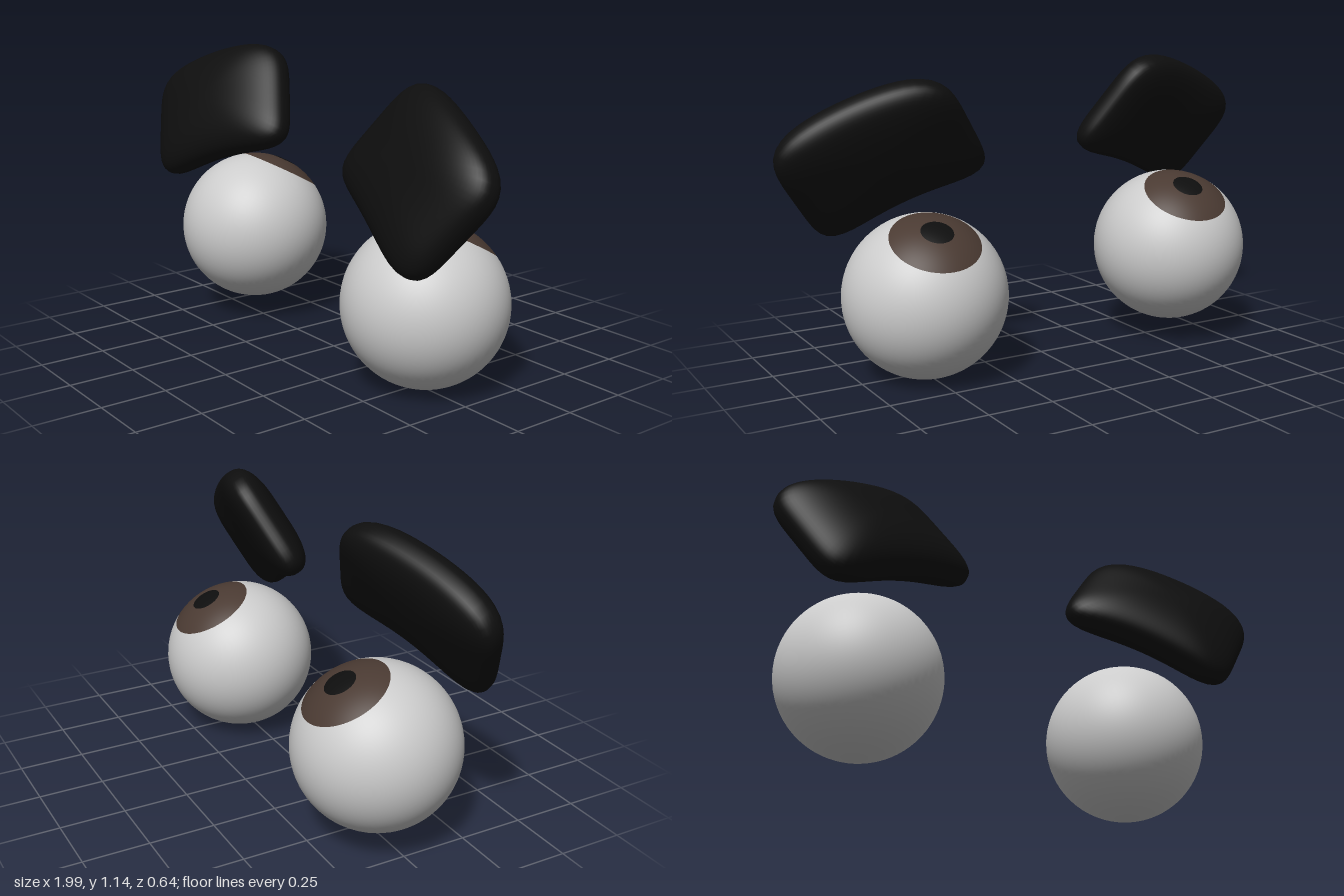
import * as THREE from 'three';
import { mergeVertices } from 'three/addons/utils/BufferGeometryUtils.js';

const material = (color) => new THREE.MeshStandardMaterial({ color });
const white = material(0xcccccc);
const brown = material(0x4a3a32);
const black = material(0x0e0e0e);

const RADIUS = 0.304;
const IRIS = THREE.MathUtils.degToRad(33);
const PUPIL = THREE.MathUtils.degToRad(11.3);

// One zone of the eyeball, between two angles from the gaze axis
function zone(name, from, to, rings, mat) {
  const geo = new THREE.SphereGeometry(RADIUS, 64, rings, 0, Math.PI * 2, from, to - from);
  const mesh = new THREE.Mesh(geo, mat);
  mesh.name = name;
  return mesh;
}

// Eyeball looking up and backwards
function makeEye(name, x, y) {
  const eye = new THREE.Group();
  eye.name = name;
  eye.add(
    zone('pupil', 0, PUPIL, 6, black),
    zone('iris', PUPIL, IRIS, 8, brown),
    zone('eyeball', IRIS, Math.PI, 36, white)
  );
  eye.position.set(x, y, -0.025);
  eye.rotation.set(-0.495, 0, -0.05);
  return eye;
}

// Soft pad: a sphere squared off in plan, then sheared along u (length) and v (height) and arched
function makeBrow(name, centre, u, v) {
  const geo = new THREE.SphereGeometry(1, 72, 36);
  geo.deleteAttribute('normal');
  geo.deleteAttribute('uv');
  const n = new THREE.Vector3().crossVectors(u, v).normalize();
  const up = v.clone().normalize();
  const pos = geo.attributes.position;
  const p = new THREE.Vector3();
  for (let i = 0; i < pos.count; i++) {
    p.fromBufferAttribute(pos, i);
    const r = Math.hypot(p.x, p.z);
    const angle = Math.atan2(-p.z, p.x);
    const c = Math.cos(angle), s = Math.sin(angle);
    const plan = Math.pow(r, 0.8) / Math.pow(Math.abs(c) ** 5 + Math.abs(s) ** 5, 0.2);
    const a = c * plan, b = s * plan;
    const thick = Math.sign(p.y) * Math.pow(Math.abs(p.y), 0.8) * 0.1;
    const arch = 0.35 - a * a;
    p.copy(centre)
      .addScaledVector(u, a)
      .addScaledVector(v, b)
      .addScaledVector(n, thick + arch * 0.03)
      .addScaledVector(up, arch * 0.035);
    pos.setXYZ(i, p.x, p.y, p.z);
  }
  const smooth = mergeVertices(geo, 1e-5);
  smooth.computeVertexNormals();
  const mesh = new THREE.Mesh(smooth, black);
  mesh.name = name;
  return mesh;
}

export function createModel() {
  const V = (x, y, z) => new THREE.Vector3(x, y, z);
  const model = new THREE.Group();
  model.name = 'eyesWithBrows';
  model.add(
    makeEye('rightEye', -0.59, 0.374),
    makeEye('leftEye', 0.505, 0.306),
    makeBrow('rightBrow', V(-0.615, 0.882, 0.12), V(0.31, 0.11, -0.1), V(-0.12, 0.19, -0.08)),
    makeBrow('leftBrow', V(0.61, 0.81, 0.12), V(0.305, -0.135, 0.1), V(0.14, 0.19, -0.08))
  );
  return model;
}
